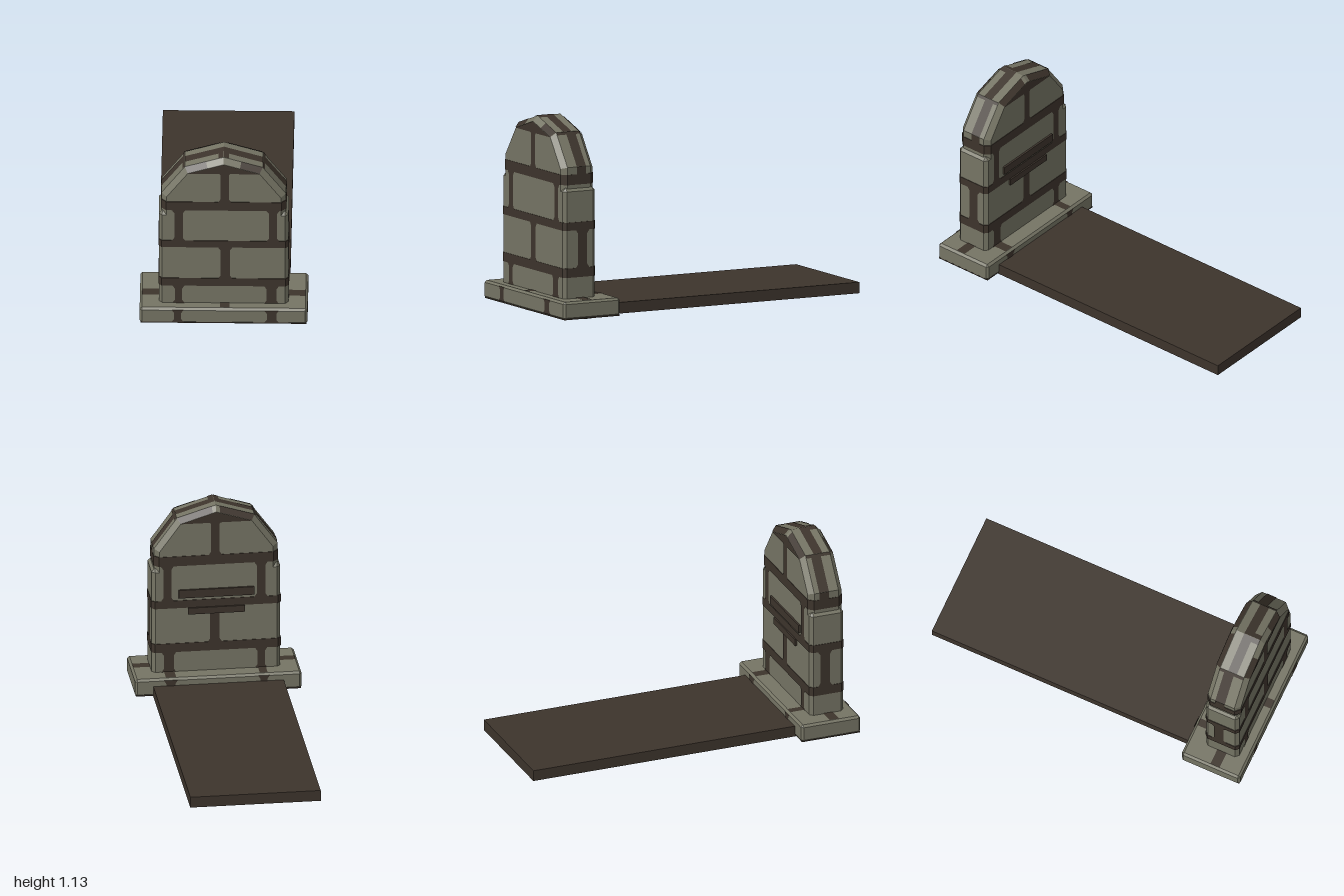
import * as THREE from 'three';
import { ConvexGeometry } from 'three/addons/geometries/ConvexGeometry.js';

const V = (x, y, z) => new THREE.Vector3(x, y, z);
const LIFT = 0.003; // how far painted mortar stands off the stone

export function createModel() {
  const group = new THREE.Group();
  const stone = new THREE.MeshStandardMaterial({ color: 0x757464 });
  stone.name = 'grey stone';
  const mortar = new THREE.MeshStandardMaterial({ color: 0x3d342c });
  mortar.name = 'dark mortar and earth';
  mortar.side = THREE.DoubleSide;

  const add = (name, geometry, material, x = 0, y = 0, z = 0) => {
    const mesh = new THREE.Mesh(geometry, material);
    mesh.name = name;
    mesh.position.set(x, y, z);
    group.add(mesh);
    return mesh;
  };

  // Box with every edge chamfered
  const chamferBox = (w, h, d, c) => {
    const pts = [];
    for (const sx of [-1, 1]) for (const sy of [-1, 1]) for (const sz of [-1, 1]) {
      const a = w / 2, b = h / 2, e = d / 2;
      pts.push(V(sx * a, sy * (b - c), sz * (e - c)),
        V(sx * (a - c), sy * b, sz * (e - c)),
        V(sx * (a - c), sy * (b - c), sz * e));
    }
    return new ConvexGeometry(pts);
  };

  // Upright prism whose four corners are cut, for mortar courses
  const courseBand = (w, d, c, y0, y1) => {
    const pts = [];
    for (const sx of [-1, 1]) for (const sz of [-1, 1]) for (const y of [y0, y1]) {
      pts.push(V(sx * w / 2, y, sz * (d / 2 - c)), V(sx * (w / 2 - c), y, sz * d / 2));
    }
    return new ConvexGeometry(pts);
  };

  // Flat strip of mortar, flared where it meets the courses
  const jointShape = (x0, x1, y0, y1) => {
    const f = Math.min(0.014, (y1 - y0) / 5);
    return new THREE.ShapeGeometry(new THREE.Shape([
      [x0 - f, y0], [x1 + f, y0], [x1, y0 + 1.5 * f], [x1, y1 - 1.5 * f],
      [x1 + f, y1], [x0 - f, y1], [x0, y1 - 1.5 * f], [x0, y0 + 1.5 * f],
    ].map(p => new THREE.Vector2(...p))));
  };

  // Convex flat patch lifted off the headstone
  const patch = (name, pts) => {
    const n = pts[1].clone().sub(pts[0]).cross(pts[2].clone().sub(pts[0])).normalize();
    if (n.dot(pts[0].clone().sub(V(0, 0.6, 0.835))) < 0) { n.negate(); pts.reverse(); }
    const pos = [];
    for (let i = 1; i < pts.length - 1; i++) {
      for (const p of [pts[0], pts[i], pts[i + 1]]) pos.push(...p.clone().addScaledVector(n, LIFT).toArray());
    }
    const g = new THREE.BufferGeometry();
    g.setAttribute('position', new THREE.Float32BufferAttribute(pos, 3));
    g.computeVertexNormals();
    add(name, g, mortar);
  };

  // Earth slab, plinth and lower headstone
  add('graveSlab', new THREE.BoxGeometry(0.76, 0.065, 1.73), mortar, 0, 0.0325, -0.135);
  add('plinth', chamferBox(0.97, 0.106, 0.37, 0.013), stone, 0, 0.057, 0.815);
  add('plinthFoot', new THREE.BoxGeometry(0.96, 0.011, 0.36), mortar, 0, 0.0105, 0.815);
  add('headstoneBody', chamferBox(0.75, 0.695, 0.21, 0.02), stone, 0, 0.4075, 0.835);

  // Bevelled arched top
  const I = [[0.33, 0.865], [0.207, 1.034], [0, 1.099]];
  const P = [[0.36, 0.875], [0.225, 1.06], [0, 1.13]];
  const outline = [[-0.33, 0.735], [0.33, 0.735], ...I, [-0.207, 1.034], [-0.33, 0.865]];
  add('headstoneTop', new THREE.ExtrudeGeometry(
    new THREE.Shape(outline.map(p => new THREE.Vector2(...p))),
    { depth: 0.15, bevelEnabled: true, bevelSize: 0.03, bevelThickness: 0.03, bevelSegments: 1 },
  ), stone, 0, 0, 0.76);

  // Horizontal mortar courses
  const L2 = 2 * LIFT;
  for (const [y0, y1] of [[0.233, 0.287], [0.508, 0.555]]) {
    add('mortarCourse', courseBand(0.75 + L2, 0.21 + L2, 0.02, y0, y1), mortar, 0, 0, 0.835);
  }
  add('mortarCourse', courseBand(0.72 + L2, 0.21 + L2, 0.03, 0.772, 0.832), mortar, 0, 0, 0.835);

  // Vertical joints on the front and back
  const joints = [
    [-0.282, -0.24, 0.11, 0.233], [0.248, 0.305, 0.11, 0.233],
    [-0.018, 0.036, 0.287, 0.508],
    [-0.285, -0.236, 0.555, 0.772], [0.262, 0.308, 0.555, 0.772],
    [-0.018, 0.03, 0.832, 1.045],
  ];
  for (const j of joints) {
    add('frontJoint', jointShape(...j), mortar, 0, 0, 0.94 + LIFT);
    add('backJoint', jointShape(-j[1], -j[0], j[2], j[3]), mortar, 0, 0, 0.73 - LIFT).rotation.y = Math.PI;
  }
  for (const [x0, x1] of [[-0.285, -0.245], [0.25, 0.305]]) {
    add('plinthFrontJoint', jointShape(x0, x1, 0.016, 0.1), mortar, 0, 0, 1 + LIFT / 2);
    add('plinthBackJoint', jointShape(-x1, -x0, 0.016, 0.1), mortar, 0, 0, 0.63 - LIFT).rotation.y = Math.PI;
  }

  // Side joints, and joints climbing the shoulders
  for (const s of [-1, 1]) {
    add('sideJoint', jointShape(-0.03, 0.03, 0.287, 0.508), mortar, s * (0.375 + LIFT), 0, 0.82).rotation.y = s * Math.PI / 2;
    const strip = (name, a, b, z0, z1) => patch(name,
      [V(s * a[0], a[1], z0), V(s * b[0], b[1], z0), V(s * b[0], b[1], z1), V(s * a[0], a[1], z1)]);
    const mix = (a, b, t) => [a[0] + (b[0] - a[0]) * t, a[1] + (b[1] - a[1]) * t];
    strip('shoulderJoint', [0.36, 0.83], P[0], 0.79, 0.85);
    strip('shoulderJoint', P[0], P[1], 0.79, 0.85);
    strip('shoulderCourse', mix(P[0], P[1], 0.92), P[1], 0.76, 0.91);
    strip('roofCourse', P[1], P[2], 0.81, 0.865);
    // Dark bevel beside the peak, front and back
    for (const [zi, zo] of [[0.94, 0.91], [0.73, 0.76]]) {
      const end = zi > 0.9 ? 0.55 : 0.9;
      const a = P[1], b = mix(P[1], P[2], end), c = mix(I[1], I[2], end), d = I[1];
      patch('crownBevel', [V(s * a[0], a[1], zo), V(s * b[0], b[1], zo), V(s * c[0], c[1], zi), V(s * d[0], d[1], zi)]);
    }
    // Roof joint at the ridge
    strip('ridgeJoint', mix(P[1], P[2], 0.87), P[2], 0.865, 0.91);
  }

  // Dark gable under the peak
  for (const z of [0.94, 0.73]) {
    patch('crownGable', [V(-0.207, 1.034, z), V(0.207, 1.034, z), V(0, 1.099, z)]);
  }

  // Mortar on the top and underside of the plinth
  for (const [name, y, turn] of [['plinthTop', 0.11 + LIFT, -1], ['plinthUnderside', 0.002, 1]]) {
    const lay = (part, x0, x1, z0, z1) => {
      const g = new THREE.PlaneGeometry(x1 - x0, z1 - z0);
      add(name + part, g, mortar, (x0 + x1) / 2, y, (z0 + z1) / 2).rotation.x = turn * Math.PI / 2;
    };
    lay('Course', -0.472, 0.472, 0.81, 0.868);
    lay('LeftJoint', 0.245, 0.305, 0.643, 0.81);
    lay('RightJoint', -0.288, -0.242, 0.643, 0.81);
    lay('FrontJoint', -0.02, 0.035, 0.868, 0.987);
  }

  // Raised inscription bars on the back
  add('upperBar', new THREE.BoxGeometry(0.44, 0.05, 0.014), mortar, 0, 0.597, 0.725);
  add('lowerBar', new THREE.BoxGeometry(0.33, 0.04, 0.014), mortar, 0, 0.488, 0.725);

  return group;
}
